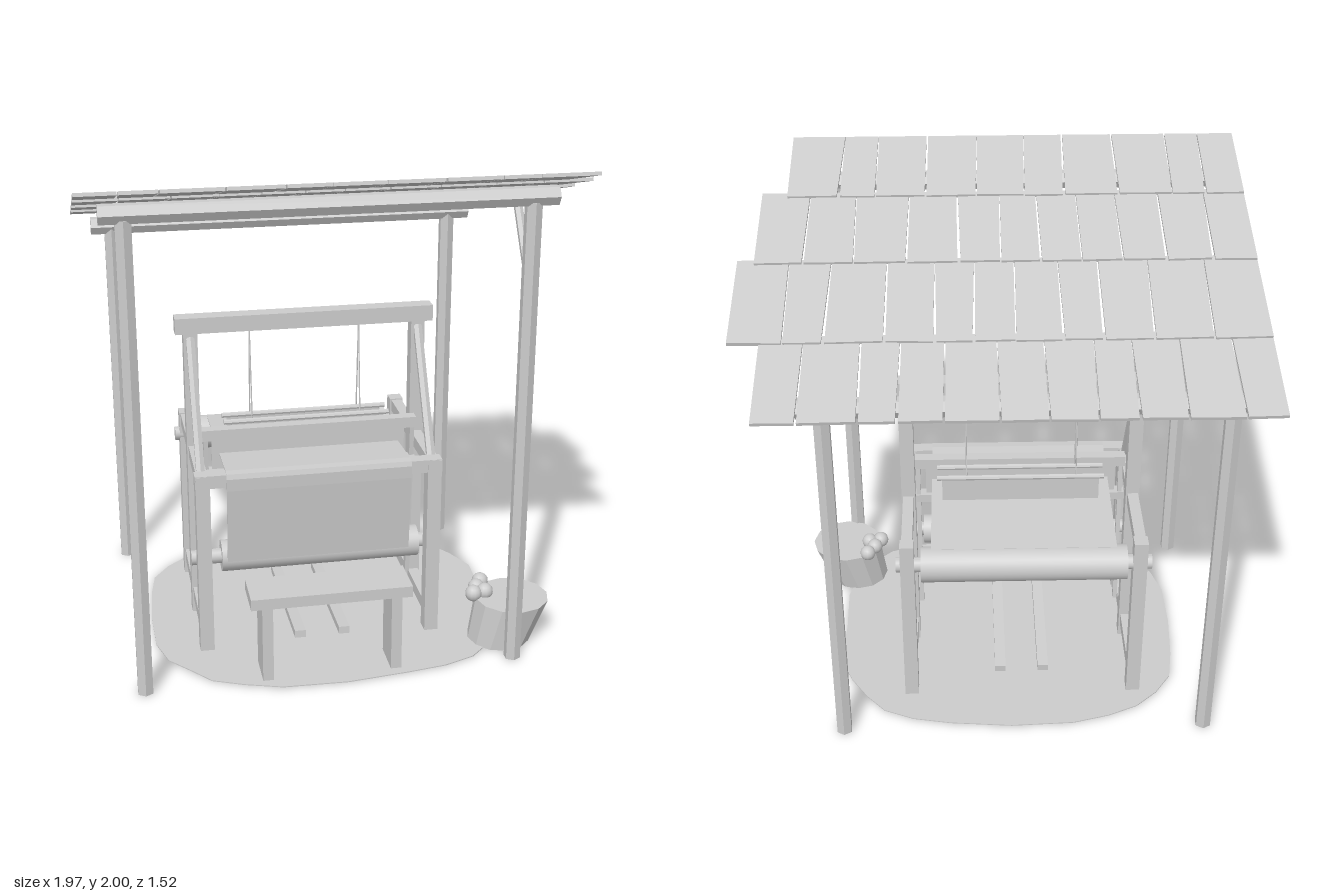
import * as THREE from 'three';
import { toCreasedNormals } from 'three/addons/utils/BufferGeometryUtils.js';

const V = (x, y, z) => new THREE.Vector3(x, y, z);

export function createModel() {
  const model = new THREE.Group();
  const grey = new THREE.MeshStandardMaterial({ color: 0xcccccc });
  grey.name = 'plainGrey';

  let seed = 7;
  const rand = () => (seed = (seed * 16807) % 2147483647) / 2147483647;

  const add = (name, geo, parent = model) => {
    const mesh = new THREE.Mesh(geo, grey);
    mesh.name = name;
    parent.add(mesh);
    return mesh;
  };
  // Box given by its limits on each axis
  const box = (name, x0, x1, y0, y1, z0, z1) => {
    const m = add(name, new THREE.BoxGeometry(x1 - x0, y1 - y0, z1 - z0));
    m.position.set((x0 + x1) / 2, (y0 + y1) / 2, (z0 + z1) / 2);
    return m;
  };
  // Round or faceted rod between two points
  const rod = (name, a, b, r, sides = 6) => {
    const d = b.clone().sub(a);
    const geo = new THREE.CylinderGeometry(r, r, d.length(), sides);
    const m = add(name, toCreasedNormals(geo, Math.PI / 5));
    m.position.copy(a).add(b).multiplyScalar(0.5);
    m.quaternion.setFromUnitVectors(V(0, 1, 0), d.normalize());
    return m;
  };
  const barX = (name, x0, x1, y, z, r, sides) => rod(name, V(x0, y, z), V(x1, y, z), r, sides);

  // Ground patch: a rounded, slightly uneven slab
  const ground = new THREE.Shape();
  for (let i = 0; i < 28; i++) {
    const t = (i / 28) * Math.PI * 2, c = Math.cos(t), s = Math.sin(t);
    const k = 0.98 + 0.04 * rand();
    const x = -0.04 + 0.72 * k * Math.sign(c) * Math.abs(c) ** 0.7;
    const y = -0.02 + 0.63 * k * Math.sign(s) * Math.abs(s) ** 0.7;
    i ? ground.lineTo(x, y) : ground.moveTo(x, y);
  }
  const slab = new THREE.ExtrudeGeometry(ground, { depth: 0.004, bevelEnabled: false });
  add('groundPatch', slab.rotateX(-Math.PI / 2).translate(0, 0.003, 0));

  // Shelter posts, beams and braces
  for (const x of [-0.82, 0.64]) {
    rod('frontPost', V(x, 0, 0.58), V(x, 1.86, 0.58), 0.033);
    rod('backPost', V(x, 0, -0.615), V(x, 1.53, -0.615), 0.033);
    rod('postBrace', V(x, 1.56, 0.565), V(x, 1.81, 0.395), 0.017);
  }
  barX('frontBeam', -0.905, 0.73, 1.88, 0.58, 0.038);
  barX('backBeam', -0.905, 0.73, 1.54, -0.615, 0.038);

  // Roof: overlapping rows of shingles, [lower z, depth, right end, gap positions]
  const rows = [
    [-0.76, 0.41, 0.87, [-0.84, -0.645, -0.475, -0.335, -0.16, 0.01, 0.2, 0.36, 0.5, 0.71]],
    [-0.39, 0.43, 0.985, [-0.78, -0.565, -0.38, -0.23, -0.06, 0.09, 0.235, 0.415, 0.63, 0.785]],
    [0.015, 0.4, 0.92, [-0.825, -0.645, -0.475, -0.32, -0.165, -0.015, 0.145, 0.34, 0.545, 0.73]],
    [0.385, 0.37, 0.82, [-0.84, -0.705, -0.49, -0.28, -0.12, 0.07, 0.27, 0.47, 0.61]],
  ];
  const slope = Math.atan(0.287);
  for (const [z, depth, right, gaps] of rows) {
    const row = new THREE.Group();
    row.name = 'shingleRow';
    row.position.set(0, 1.79 + 0.287 * z, z);
    row.rotation.x = Math.PI / 2 - slope + 0.022;
    model.add(row);
    const len = depth / Math.cos(slope);
    let low = -0.985, high = -0.985;
    for (const end of [...gaps, right]) {
      const last = end === right;
      const skew = last ? 0 : 0.008 * (rand() - 0.5);
      const shape = new THREE.Shape([
        new THREE.Vector2(low, 0.006 * (rand() - 0.5)),
        new THREE.Vector2(end - skew, 0.006 * (rand() - 0.5)),
        new THREE.Vector2(end + skew, len),
        new THREE.Vector2(high, len),
      ]);
      add('shingle', new THREE.ExtrudeGeometry(shape, { depth: 0.013, bevelEnabled: false }), row);
      low = end - skew + 0.004 + 0.009 * rand();
      high = end + skew + 0.001 + 0.006 * rand();
    }
  }

  // Loom side frames
  for (const x of [-0.553, 0.37]) {
    const a = x - 0.028, b = x + 0.028;
    box('frontLeg', a, b, 0, 0.765, 0.265, 0.327);
    box('backLeg', a, b, 0, 0.768, -0.42, -0.362);
    box('middlePost', a, b, 0, 1.25, -0.062, -0.004);
    box('topRail', a + 0.006, b - 0.006, 0.715, 0.763, -0.37, 0.27);
    box('lowerRail', a + 0.006, b - 0.006, 0.07, 0.12, -0.37, 0.27);
    rod('frameBrace', V(x, 1.22, -0.015), V(x, 0.75, 0.255), 0.019);
  }
  box('overheadBeam', -0.613, 0.43, 1.24, 1.305, -0.067, 0);
  box('breastBeam', -0.583, 0.4, 0.715, 0.768, 0.27, 0.325);

  // Warp roll at the back and cloth roll at the front, each on a long axle
  barX('warpAxle', -0.6, 0.415, 0.665, -0.39, 0.03, 14);
  barX('warpRoll', -0.5, 0.315, 0.665, -0.39, 0.071, 24);
  barX('clothAxle', -0.6, 0.415, 0.38, 0.235, 0.03, 14);
  barX('clothRoll', -0.48, 0.32, 0.38, 0.235, 0.063, 24);

  // Woven sheet running from the warp roll, over the breast beam, to the cloth roll
  const path = [[-0.39, 0.737], [0.07, 0.757], [0.29, 0.772], [0.325, 0.77], [0.331, 0.75], [0.329, 0.7], [0.298, 0.38]];
  const ribbon = new THREE.Shape(path.map(([z, y]) => new THREE.Vector2(-z, y)));
  path.reverse().forEach(([z, y]) => ribbon.lineTo(-(z - (y < 0.76 && z > 0.2 ? 0.005 : 0)), y - (z < 0.3 ? 0.005 : 0.003)));
  const cloth = new THREE.ExtrudeGeometry(ribbon, { depth: 0.735, bevelEnabled: false });
  add('wovenCloth', cloth.rotateY(Math.PI / 2).translate(-0.46, 0, 0));

  // Swinging beater: cap, race, reed and side arms
  box('beaterCap', -0.53, 0.345, 0.82, 0.865, 0.054, 0.1);
  box('beaterRace', -0.53, 0.345, 0.655, 0.69, 0.05, 0.1);
  box('reed', -0.49, 0.3, 0.69, 0.82, 0.07, 0.078);
  for (const x of [-0.513, 0.332]) {
    const arm = box('beaterArm', x - 0.009, x + 0.009, 0.14, 0.83, 0.045, 0.069);
    arm.rotation.x = 0.056;
  }

  // Two heddle shafts hung on cords
  for (const z of [0.005, -0.072]) {
    barX('heddleTopBar', -0.43, 0.25, 0.86, z, 0.011, 8);
    barX('heddleBottomBar', -0.43, 0.25, 0.585, z, 0.011, 8);
    box('heddleSheet', -0.41, 0.23, 0.585, 0.86, z - 0.002, z + 0.002);
    for (const x of [-0.315, 0.13]) rod('heddleCord', V(x, 0.865, z), V(x, 1.245, -0.034), 0.003, 5);
  }

  // Sloping treadles
  for (const x of [-0.182, -0.002]) {
    const treadle = box('treadle', x - 0.022, x + 0.022, 0.032, 0.062, -0.295, 0.37);
    treadle.rotation.x = -0.062;
  }

  // Bench
  box('benchSeat', -0.41, 0.22, 0.325, 0.37, 0.43, 0.61);
  for (const x of [-0.345, 0.162]) box('benchLeg', x - 0.021, x + 0.021, 0, 0.325, 0.445, 0.595);

  // Leaning basket: a tapered drum sheared sideways
  const drum = new THREE.CylinderGeometry(0.15, 0.127, 0.18, 12);
  const p = drum.attributes.position;
  for (let i = 0; i < p.count; i++) p.setX(i, p.getX(i) + 0.28 * p.getY(i));
  add('basket', toCreasedNormals(drum, 0.3)).position.set(0.655, 0.094, 0.415);

  // Yarn balls at the basket rim
  for (const [x, z] of [[0.525, 0.4], [0.55, 0.35], [0.58, 0.3], [0.575, 0.39]]) {
    add('yarnBall', new THREE.SphereGeometry(0.034, 12, 8)).position.set(x, 0.2, z);
  }
  return model;
}
